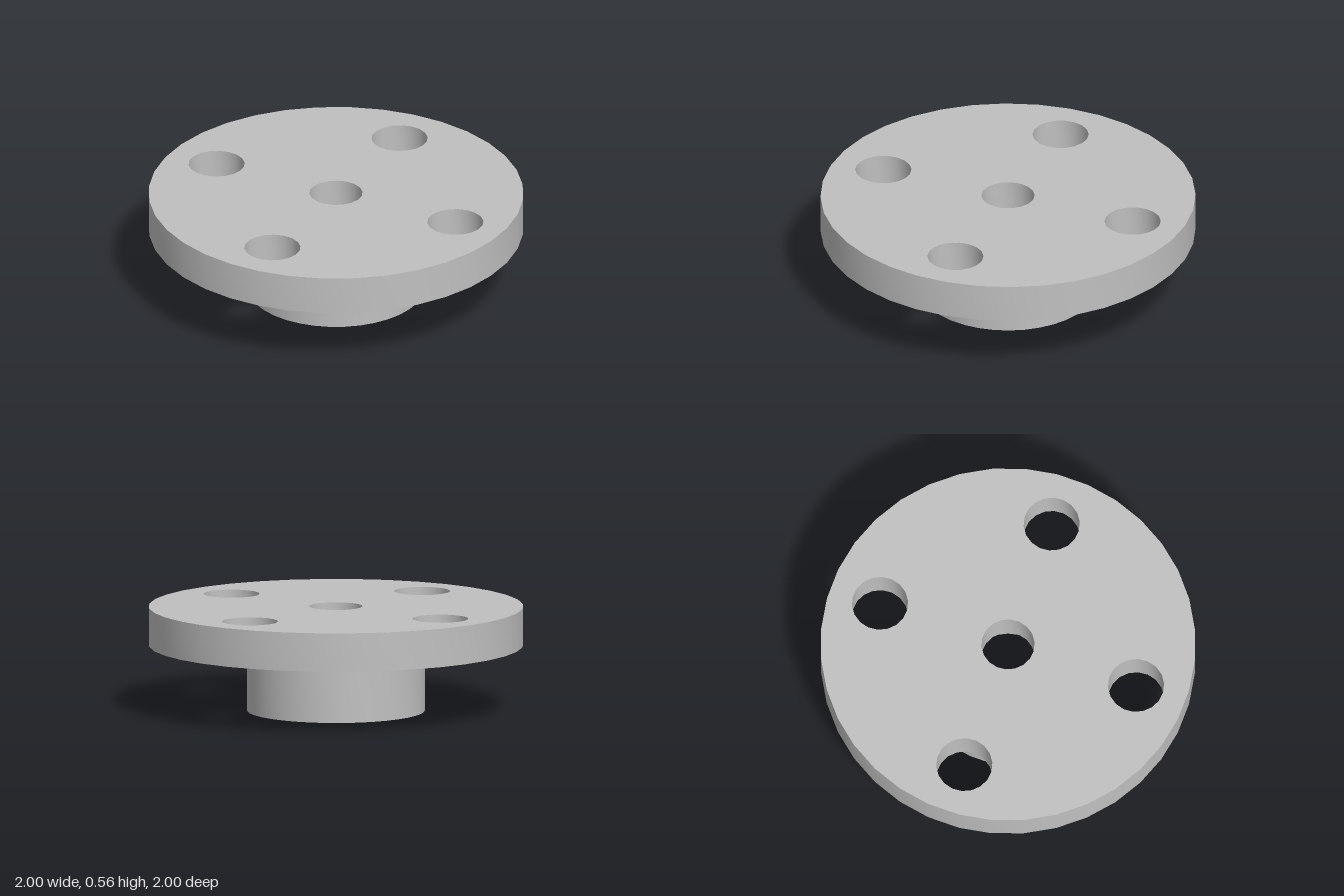
import * as THREE from 'three';
import { toCreasedNormals } from 'three/addons/utils/BufferGeometryUtils.js';

// Points of a regular polygon in plan; z becomes -y of the shape plane
function ring(radius, sides, x = 0, z = 0) {
  return Array.from({ length: sides }, (_, i) => {
    const a = (i / sides) * Math.PI * 2;
    return new THREE.Vector2(x + radius * Math.cos(a), -z + radius * Math.sin(a));
  });
}

// Upright plate with through holes, smooth round walls and sharp rims
function plate(outline, holes, bottom, height) {
  const shape = new THREE.Shape(outline);
  shape.holes = holes.map((points) => new THREE.Path(points));
  const geometry = new THREE.ExtrudeGeometry(shape, { depth: height, bevelEnabled: false });
  geometry.rotateX(-Math.PI / 2).translate(0, bottom, 0);
  return toCreasedNormals(geometry, 0.6);
}

export function createModel() {
  const model = new THREE.Group();
  model.name = 'flangedHub';
  const metal = new THREE.MeshStandardMaterial({ color: 0xc0c0c0 });
  metal.name = 'grey metal';

  const add = (name, geometry) => {
    const mesh = new THREE.Mesh(geometry, metal);
    mesh.name = name;
    model.add(mesh);
  };

  // Flange disc with a narrow centre bore and four bolt holes
  const boltHoles = [[0.4, -0.6], [0.6, 0.4], [-0.4, 0.6], [-0.6, -0.4]]
    .map(([x, z]) => ring(0.15, 18, x, z));
  add('flange', plate(ring(1, 36), [ring(0.142, 18), ...boltHoles], 0.353, 0.207));

  // Hub below, with a wider bore that ends at the flange
  add('hub', plate(ring(0.475, 36), [ring(0.265, 24)], 0, 0.353));

  return model;
}
